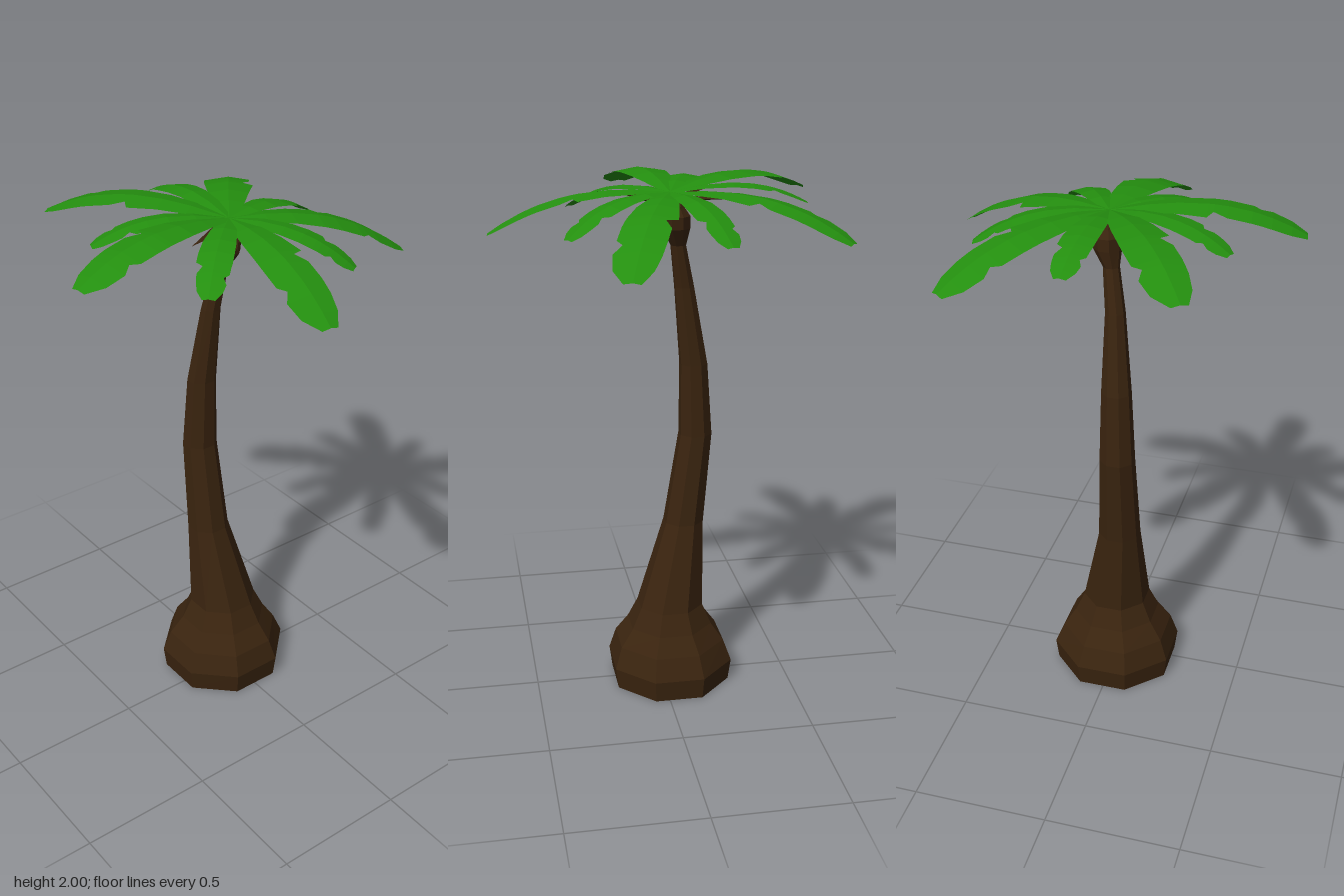
import * as THREE from 'three';

const SIDES = 8;
const CROWN = new THREE.Vector3(-0.03, 1.955, -0.03);

// Rings of [y, centre x, centre z, x extent, z extent]
const TRUNK = [
  [0, -0.037, -0.003, 0.222, 0.225],
  [0.085, -0.037, -0.003, 0.233, 0.235],
  [0.17, -0.035, 0, 0.205, 0.203],
  [0.24, -0.035, -0.003, 0.157, 0.157],
  [0.32, -0.037, -0.003, 0.122, 0.122],
  [0.66, -0.095, 0.025, 0.073, 0.075],
  [1.02, -0.14, 0.028, 0.06, 0.062],
  [1.3, -0.13, 0.022, 0.05, 0.052],
  [1.6, -0.09, 0.007, 0.035, 0.034],
  [1.76, -0.063, -0.015, 0.027, 0.028],
];
const HEAD = [
  [1.76, -0.063, -0.015, 0.027, 0.028],
  [1.825, -0.05, -0.032, 0.05, 0.048],
  [1.87, -0.048, -0.034, 0.052, 0.05],
  [1.9, -0.046, -0.035, 0.034, 0.034],
  [1.945, -0.038, -0.032, 0.022, 0.022],
];

// Closed loft through octagonal rings
function loft(rings) {
  const pos = [], idx = [];
  const k = 1 / Math.cos(Math.PI / SIDES);
  for (const [y, cx, cz, rx, rz] of rings) {
    for (let i = 0; i < SIDES; i++) {
      const a = ((i + 0.5) / SIDES) * Math.PI * 2;
      pos.push(cx + Math.cos(a) * rx * k, y, cz + Math.sin(a) * rz * k);
    }
  }
  for (let r = 0; r < rings.length - 1; r++) {
    for (let i = 0; i < SIDES; i++) {
      const a = r * SIDES + i, b = r * SIDES + ((i + 1) % SIDES);
      idx.push(a, a + SIDES, b, b, a + SIDES, b + SIDES);
    }
  }
  const top = (rings.length - 1) * SIDES;
  for (let i = 1; i < SIDES - 1; i++) {
    idx.push(0, i, i + 1, top, top + i + 1, top + i);
  }
  return geometry(pos, idx);
}

function geometry(pos, idx) {
  const g = new THREE.BufferGeometry();
  g.setAttribute('position', new THREE.Float32BufferAttribute(pos, 3));
  g.setIndex(idx);
  const flat = g.toNonIndexed();
  flat.computeVertexNormals();
  return flat;
}

// Torn leaf outline: [distance along, left width, right width]
const LONG = [
  [0, 0.2, 0.2], [0.2, 0.62, 0.6], [0.35, 0.8, 0.82], [0.5, 0.98, 0.95],
  [0.53, 0.55, 0.97], [0.6, 0.85, 1], [0.72, 0.85, 1], [0.76, 0.83, 0.72],
  [0.82, 0.8, 1], [0.92, 0.65, 0.85], [1, 0.3, 0.35],
];
const SHORT = [
  [0, 0.25, 0.25], [0.25, 0.72, 0.7], [0.45, 0.9, 0.92], [0.6, 0.95, 1],
  [0.7, 0.95, 1], [0.74, 0.92, 0.6], [0.8, 0.9, 0.85], [0.83, 0.62, 0.85],
  [0.88, 0.82, 0.8], [0.94, 0.7, 0.68], [1, 0.35, 0.35],
];

// Arched leaf from the crown to its tip, folded slightly along the midrib
function leafGeometry([tx, ty, tz], rows, halfWidth, arch, flip) {
  const dx = tx - CROWN.x, dz = tz - CROWN.z;
  const len = Math.hypot(dx, dz);
  const sx = -dz / len, sz = dx / len;
  const rise = ty - CROWN.y + arch;
  const pos = [], idx = [];
  rows.forEach(([t, l, r], n) => {
    const x = CROWN.x + dx * t, z = CROWN.z + dz * t;
    const y = CROWN.y + rise * t - arch * Math.pow(t, 2.6);
    const [wl, wr] = (flip ? [r, l] : [l, r]).map((w) => w * halfWidth);
    pos.push(x - sx * wl, y - wl * 0.16, z - sz * wl);
    pos.push(x, y, z);
    pos.push(x + sx * wr, y - wr * 0.16, z + sz * wr);
    if (n === 0) return;
    for (let s = 0; s < 2; s++) {
      const a = (n - 1) * 3 + s, b = a + 3;
      idx.push(a, a + 1, b, a + 1, b + 1, b);
    }
  });
  // Order the corners so that the normals point up
  for (let i = 0; i < idx.length; i += 3) [idx[i + 1], idx[i + 2]] = [idx[i + 2], idx[i + 1]];
  return geometry(pos, idx);
}

const LONG_TIPS = [
  [0.2, 1.77, -0.645], [-0.585, 1.83, -0.45], [-0.605, 1.905, 0.36],
  [0.06, 1.9, 0.645], [0.62, 1.81, 0.06],
];
const SHORT_TIPS = [
  [-0.16, 1.84, -0.49], [0.365, 1.84, -0.27], [-0.53, 1.91, -0.05],
  [-0.2, 1.91, 0.43], [0.3, 1.86, 0.305],
];
// Horizontal directions of the dry spikes, in the gaps between leaves
const SPIKES = [[0.22, -0.045], [0.21, 0.125], [0.09, 0.225], [-0.165, 0.18], [-0.215, -0.08], [0, -0.21]];

export function createModel() {
  const model = new THREE.Group();
  model.name = 'palmTree';
  const bark = new THREE.MeshStandardMaterial({ color: 0x3a240f });
  const leafGreen = new THREE.MeshStandardMaterial({ color: 0x248f0f });
  bark.name = 'bark';
  leafGreen.name = 'leafGreen';
  bark.flatShading = leafGreen.flatShading = true;
  leafGreen.side = THREE.DoubleSide;

  const add = (parent, name, geo, mat) => {
    const mesh = new THREE.Mesh(geo, mat);
    mesh.name = name;
    parent.add(mesh);
    return mesh;
  };

  add(model, 'trunk', loft(TRUNK), bark);
  add(model, 'trunkHead', loft(HEAD), bark);

  // Leaves
  const leaves = new THREE.Group();
  leaves.name = 'leaves';
  model.add(leaves);
  LONG_TIPS.forEach((tip, i) =>
    add(leaves, 'longLeaf', leafGeometry(tip, LONG, 0.092, 0.2, i % 2 === 1), leafGreen));
  SHORT_TIPS.forEach((tip, i) =>
    add(leaves, 'shortLeaf', leafGeometry(tip, SHORT, 0.062, 0.15, i % 2 === 1), leafGreen));

  // Dry spikes beneath the leaves
  const up = new THREE.Vector3(0, 1, 0);
  for (const [x, z] of SPIKES) {
    const dir = new THREE.Vector3(x, 0.0, z);
    const len = dir.length();
    const spike = add(model, 'drySpike', new THREE.ConeGeometry(0.04, len, 4), bark);
    spike.scale.z = 0.3;
    const d = dir.clone().normalize();
    const side = new THREE.Vector3().crossVectors(d, up);
    spike.quaternion.setFromRotationMatrix(new THREE.Matrix4().makeBasis(side, d, up));
    spike.position.set(CROWN.x + x / 2, 1.935, CROWN.z + z / 2);
  }
  return model;
}
